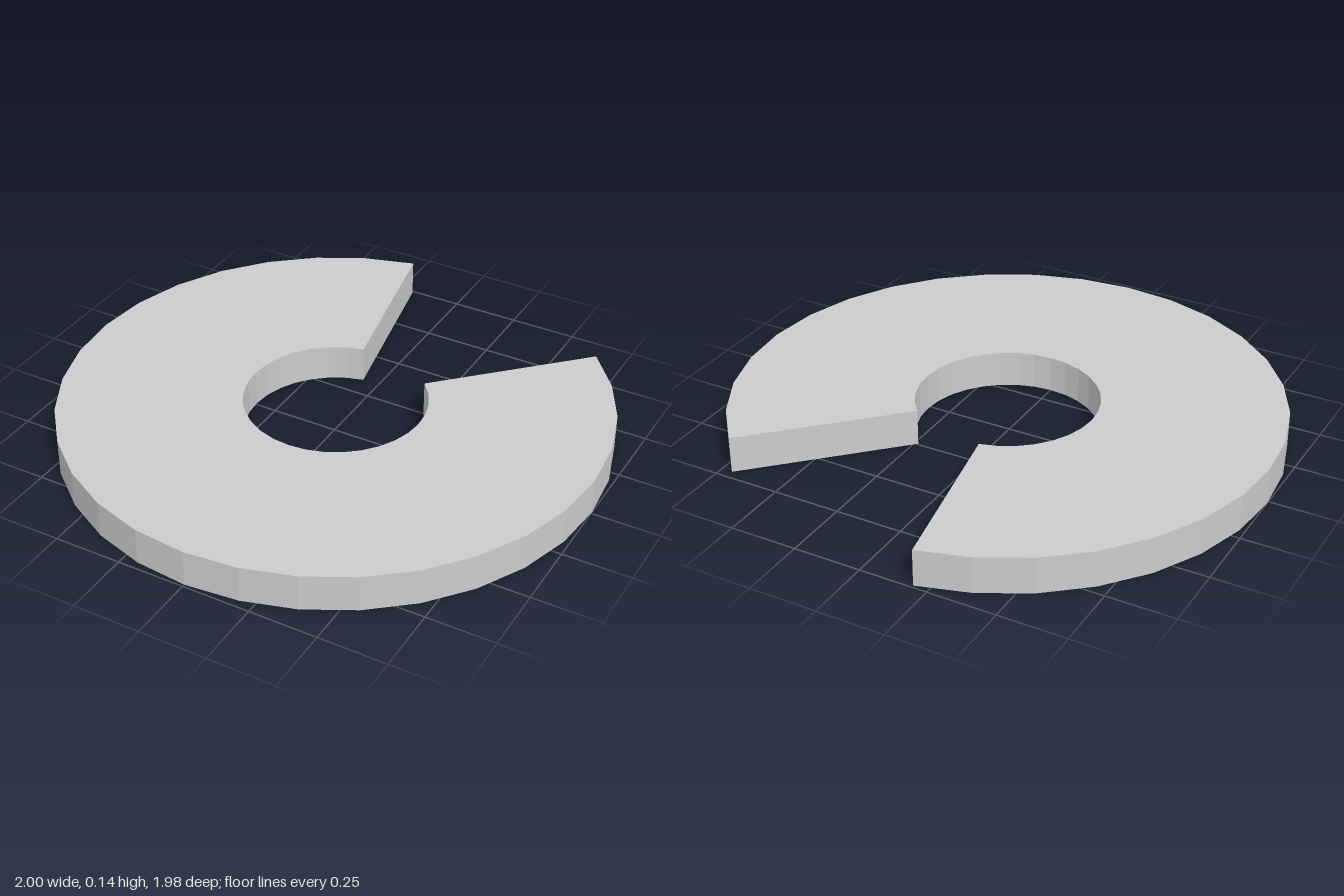
import * as THREE from 'three';

const STEP = Math.PI / 16; // outline of 32 sides per full turn
const OUTER = 1, INNER = 0.333, HEIGHT = 0.136;
const FIRST = 9, LAST = 36; // arc ends in steps, leaving a five-side gap at the back

// Points along an arc of the ring
function arc(radius) {
  const points = [];
  for (let i = FIRST; i <= LAST; i++) {
    points.push(new THREE.Vector2(Math.cos(i * STEP) * radius, Math.sin(i * STEP) * radius));
  }
  return points;
}

export function createModel() {
  const group = new THREE.Group();
  group.name = 'openRing';

  // Thick flat ring with a wedge cut out
  const shape = new THREE.Shape([...arc(OUTER), ...arc(INNER).reverse()]);
  const geometry = new THREE.ExtrudeGeometry(shape, { depth: HEIGHT, bevelEnabled: false });
  geometry.rotateX(-Math.PI / 2);
  geometry.translate(0, 0, -0.0096); // centre the cut outline on z

  const ring = new THREE.Mesh(
    geometry,
    new THREE.MeshStandardMaterial({ color: 0xcccccc, flatShading: true })
  );
  ring.name = 'slottedRing';
  group.add(ring);
  return group;
}
